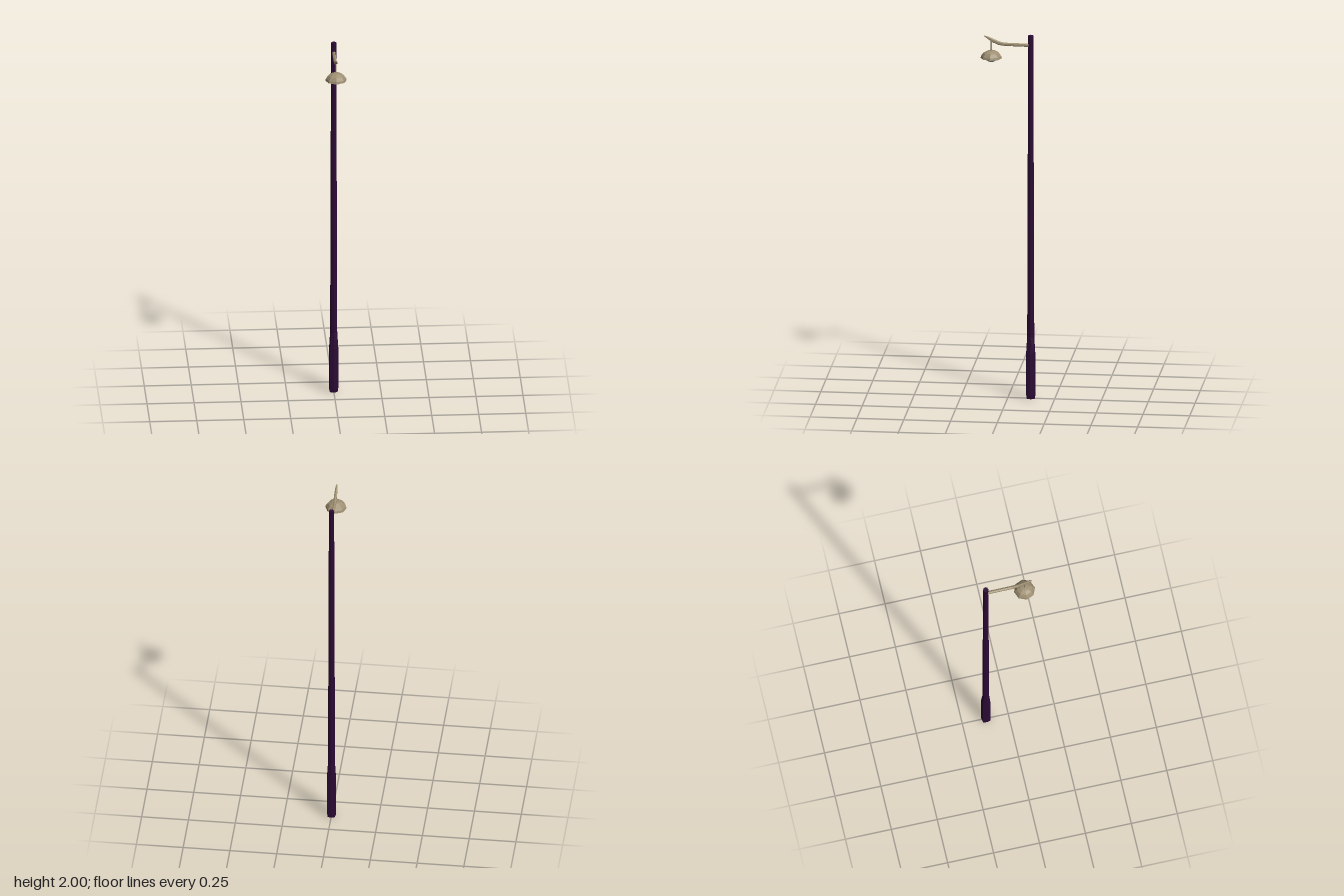
import * as THREE from 'three';

const mat = (color) => new THREE.MeshStandardMaterial({ color, flatShading: true, side: THREE.DoubleSide });

// Eight-sided turned part from [radius, height] pairs, bottom to top
function turned(name, profile, material) {
  const points = profile.map(([r, y]) => new THREE.Vector2(r, y));
  const mesh = new THREE.Mesh(new THREE.LatheGeometry(points, 8), material);
  mesh.name = name;
  return mesh;
}

// Six-sided bar swept through [z, y, halfWidth, halfHeight] sections
function sweptBar(name, sections, material) {
  const n = sections.length - 1;
  const geo = new THREE.CylinderGeometry(1, 1, 1, 6, n);
  const p = geo.attributes.position;
  for (let i = 0; i < p.count; i++) {
    const [z, y, w, h] = sections[Math.round((p.getY(i) + 0.5) * n)];
    p.setXYZ(i, p.getX(i) * w, y - p.getZ(i) * h, z);
  }
  geo.computeVertexNormals();
  const mesh = new THREE.Mesh(geo, material);
  mesh.name = name;
  return mesh;
}

export function createModel() {
  const group = new THREE.Group();
  group.name = 'streetLamp';
  const purple = mat(0x2c0a36);
  const tan = mat(0x9f9073);
  const glass = mat(0xa9afae);

  // Tapered pole with a thicker, squarer foot
  const pole = turned('pole', [
    [0, 0], [0.022, 0], [0.025, 0.02], [0.0245, 0.25], [0.019, 0.34],
    [0.017, 1], [0.014, 2], [0, 2],
  ], purple);
  const p = pole.geometry.attributes.position;
  for (let i = 0; i < p.count; i++) {
    const x = p.getX(i), z = p.getZ(i);
    const diagonal = Math.abs(x) > 0.005 && Math.abs(z) > 0.005;
    if (diagonal && p.getY(i) < 0.3) p.setXYZ(i, x * 1.18, p.getY(i), z * 1.18);
  }
  pole.geometry.computeVertexNormals();
  pole.position.z = -0.122;
  group.add(pole);

  // Arm that bends up to a thin tip
  group.add(sweptBar('arm', [
    [-0.118, 1.945, 0.009, 0.009], [0.02, 1.947, 0.009, 0.009],
    [0.05, 1.953, 0.009, 0.011], [0.08, 1.966, 0.0085, 0.011],
    [0.105, 1.979, 0.007, 0.008], [0.128, 1.991, 0.004, 0.002],
  ], tan));

  // Hanging lamp
  const lamp = new THREE.Group();
  lamp.name = 'lamp';
  lamp.position.z = 0.089;
  const rod = new THREE.Mesh(new THREE.CylinderGeometry(0.003, 0.003, 0.064, 6), tan);
  rod.name = 'hangingRod';
  rod.position.y = 1.938;
  lamp.add(rod);

  // Domed shade with an open, rimmed underside
  lamp.add(turned('shade', [
    [0, 1.9], [0.03, 1.895], [0.044, 1.871], [0.057, 1.869],
    [0.054, 1.881], [0.042, 1.898], [0.022, 1.909], [0, 1.912],
  ], tan));
  lamp.add(turned('bulb', [
    [0, 1.85], [0.018, 1.852], [0.032, 1.861], [0.038, 1.873], [0, 1.885],
  ], glass));
  group.add(lamp);

  return group;
}
